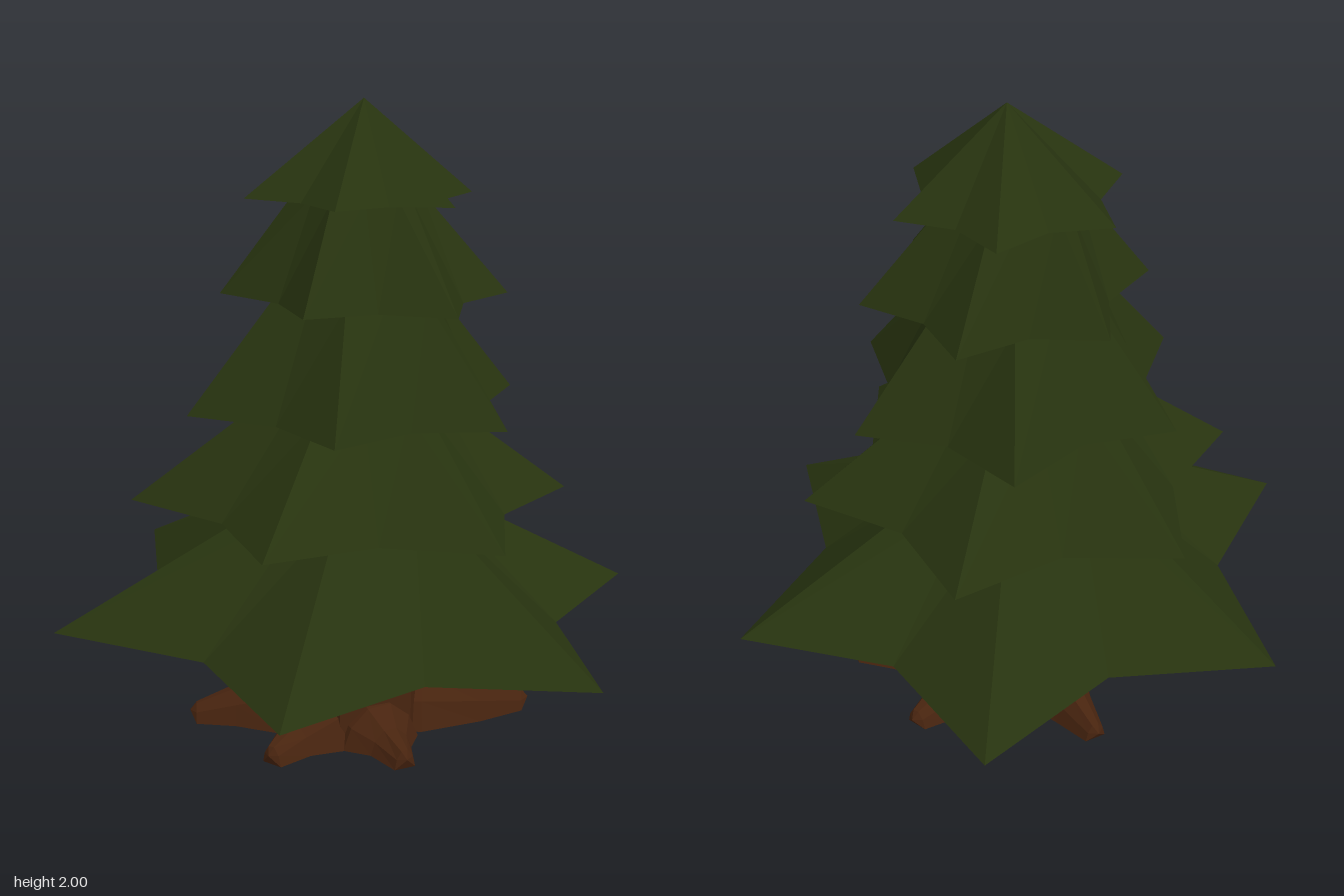
import * as THREE from 'three';

const needleGreen = new THREE.MeshStandardMaterial({ color: 0x27330f, side: THREE.DoubleSide });
needleGreen.name = 'needleGreen';
const barkBrown = new THREE.MeshStandardMaterial({ color: 0x48240f, side: THREE.DoubleSide });
barkBrown.name = 'barkBrown';

// Joins closed rings of points into a faceted skin
function loft(rings) {
  const pos = [];
  const tri = (...pts) => pts.forEach((p) => pos.push(p.x, p.y, p.z));
  for (let k = 0; k < rings.length - 1; k++) {
    const a = rings[k], b = rings[k + 1], n = a.length;
    for (let i = 0; i < n; i++) {
      const j = (i + 1) % n;
      if (!a[i].equals(a[j])) tri(a[i], a[j], b[j]);
      if (!b[i].equals(b[j])) tri(a[i], b[j], b[i]);
    }
  }
  const geo = new THREE.BufferGeometry();
  geo.setAttribute('position', new THREE.Float32BufferAttribute(pos, 3));
  geo.computeVertexNormals();
  return geo;
}

// Six-pointed ring: tips at radius r, valleys at r * valley, tilted down towards +x
function starRing(cx, y, r, valley, turn, tilt) {
  return Array.from({ length: 12 }, (_, i) => {
    const a = (i * Math.PI) / 6 + turn;
    const rad = i % 2 ? r * valley : r;
    const x = Math.sin(a) * rad;
    return new THREE.Vector3(cx + x, y - tilt * x, Math.cos(a) * rad);
  });
}

// One root: cross-sections shrinking from the trunk out to the tip
function rootGeometry(length, tipY, height) {
  const sections = [
    // distance, half width, bottom, top
    [0.0, 0.13, 0.02, height + 0.02],
    [0.22, 0.13, 0.01, height],
    [length * 0.72, 0.07, 0.015, height * 0.45 + tipY * 0.75],
    [length * 0.96, 0.035, tipY - 0.035, tipY + 0.025],
    [length, 0, tipY, tipY],
  ];
  return loft(sections.map(([d, w, lo, hi]) => [
    [w, lo], [w * 0.75, lo + (hi - lo) * 0.6], [w * 0.25, hi],
    [-w * 0.35, hi * 0.97 + lo * 0.03], [-w * 0.8, lo + (hi - lo) * 0.55], [-w, lo],
  ].map(([x, y]) => new THREE.Vector3(x, y, d))));
}

export function createModel() {
  const tree = new THREE.Group();
  tree.name = 'pineTree';
  const add = (name, geo, mat) => {
    const mesh = new THREE.Mesh(geo, mat);
    mesh.name = name;
    tree.add(mesh);
    return mesh;
  };

  // Six-sided trunk, tapering inside the foliage
  const trunk = [[0.01, 0.0, 0.0], [0.01, 0.01, 0.235], [0.01, 0.6, 0.235], [0.01, 1.1, 0.21],
    [0.02, 1.45, 0.16], [0.03, 1.85, 0.07], [0.03, 1.85, 0]];
  add('trunk', loft(trunk.map(([cx, y, r]) =>
    starRing(cx, y, r, Math.cos(Math.PI / 6), 0, 0))), barkBrown);

  // Roots spreading from the foot: tip x, tip z, tip height, height at the trunk
  const roots = [
    [0.56, -0.13, 0.07, 0.18], [0.3, -0.45, 0.07, 0.17], [-0.3, -0.44, 0.06, 0.19],
    [-0.51, 0.14, 0.045, 0.2], [-0.18, 0.4, 0.045, 0.17], [0.24, 0.33, 0.04, 0.14],
  ];
  roots.forEach(([x, z, tipY, height], i) => {
    const root = add(`root${i + 1}`, rootGeometry(Math.hypot(x, z), tipY, height), barkBrown);
    root.rotation.y = Math.atan2(x, z);
  });

  // Hollow star-shaped tiers of foliage, bottom to top
  const deg = Math.PI / 180;
  const tiers = [
    // base x, base y, base radius, valley, top x, top y, top radius, turn, tilt
    [0.0, 0.408, 0.953, 0.685, 0.01, 0.79, 0.24, 0, 0.024],
    [0.0, 0.776, 0.69, 0.72, 0.0, 1.09, 0.27, -9.5 * deg, 0.02],
    [0.01, 1.08, 0.547, 0.72, 0.01, 1.425, 0.26, 5.5 * deg, 0.02],
    [0.04, 1.418, 0.44, 0.72, 0.02, 1.725, 0.19, -12 * deg, 0.02],
    [0.025, 1.714, 0.36, 0.72, 0.035, 2.0, 0, 0, 0.015],
  ];
  tiers.forEach(([bx, by, br, valley, tx, ty, tr, turn, tilt], i) => {
    add(`foliageTier${i + 1}`, loft([
      starRing(bx, by, br, valley, turn, tilt),
      starRing(tx, ty, tr, 0.866, turn, tilt),
    ]), needleGreen);
  });

  return tree;
}
